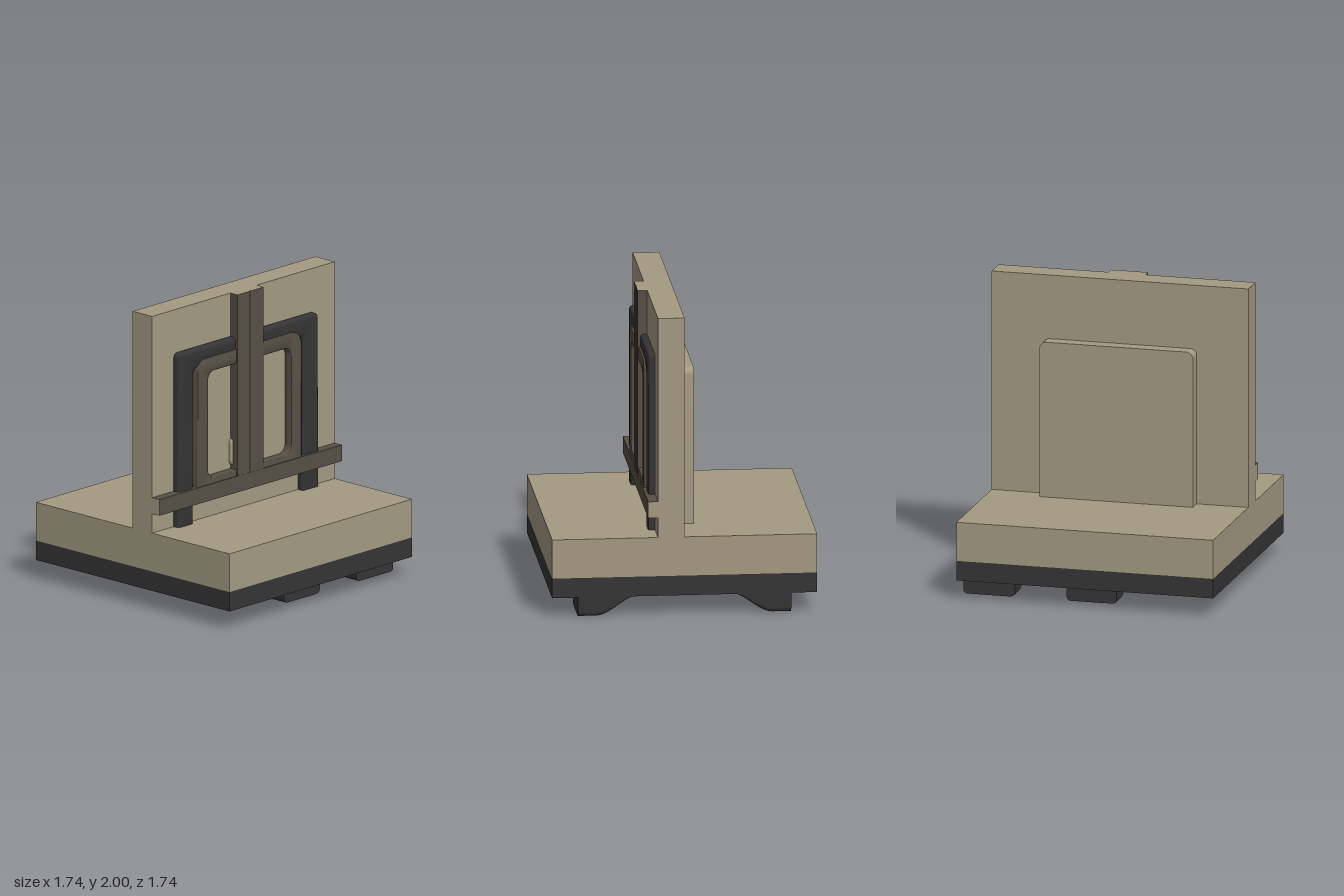
import * as THREE from 'three';
import { toCreasedNormals } from 'three/addons/utils/BufferGeometryUtils.js';

const material = (color) => new THREE.MeshStandardMaterial({ color });

// Rectangle outline with its own radius for the top and bottom corners
function roundedRect(x0, y0, x1, y1, top, bottom, Type = THREE.Shape) {
  const s = new Type();
  s.moveTo(x0 + bottom, y0);
  s.lineTo(x1 - bottom, y0);
  if (bottom) s.absarc(x1 - bottom, y0 + bottom, bottom, -Math.PI / 2, 0);
  s.lineTo(x1, y1 - top);
  if (top) s.absarc(x1 - top, y1 - top, top, 0, Math.PI / 2);
  s.lineTo(x0 + top, y1);
  if (top) s.absarc(x0 + top, y1 - top, top, Math.PI / 2, Math.PI);
  s.lineTo(x0, y0 + bottom);
  if (bottom) s.absarc(x0 + bottom, y0 + bottom, bottom, Math.PI, Math.PI * 1.5);
  return s;
}

// Extrude between two z depths, with an optional rounded edge
function plate(shape, z0, z1, bevel = 0) {
  const geo = new THREE.ExtrudeGeometry(shape, {
    depth: z1 - z0 - 2 * bevel, curveSegments: 8, bevelEnabled: bevel > 0,
    bevelThickness: bevel, bevelSize: bevel, bevelOffset: -bevel, bevelSegments: 4,
  });
  geo.translate(0, 0, z0 + bevel);
  return toCreasedNormals(geo, 0.6);
}

// Foot: rounded block whose underside sweeps up to the slab on its inner side
function footGeometry(x0, x1) {
  const top = 0.14, outer = 0.7, inner = 0.29;
  const geo = new THREE.ExtrudeGeometry(roundedRect(x0, 0, x1, top, 0, 0.03), {
    depth: outer - inner, steps: 24, curveSegments: 5, bevelEnabled: false,
  });
  geo.translate(0, 0, inner);
  const p = geo.attributes.position;
  for (let i = 0; i < p.count; i++) {
    const drop = THREE.MathUtils.smoothstep(p.getZ(i), inner, 0.58);
    p.setY(i, top + (p.getY(i) - top) * drop);
  }
  return toCreasedNormals(geo, 0.6);
}

export function createModel() {
  const group = new THREE.Group();
  const tan = material(0xa49b83);
  const brown = material(0x575046);
  const dark = material(0x353535);
  const add = (name, geo, mat) => {
    const mesh = new THREE.Mesh(geo, mat);
    mesh.name = name;
    group.add(mesh);
    return mesh;
  };
  const box = (name, mat, x0, x1, y0, y1, z0, z1) => add(name,
    new THREE.BoxGeometry(x1 - x0, y1 - y0, z1 - z0)
      .translate((x0 + x1) / 2, (y0 + y1) / 2, (z0 + z1) / 2), mat);

  // Base layers and upright wall
  box('baseSlab', dark, -0.87, 0.87, 0.13, 0.262, -0.87, 0.87);
  box('baseBlock', tan, -0.87, 0.87, 0.262, 0.523, -0.87, 0.87);
  box('wall', tan, -0.87, 0.87, 0.523, 2, 0, 0.175);

  // Raised panel on the back
  add('backPanel', plate(roundedRect(-0.52, 0.5, 0.52, 1.57, 0.045, 0), -0.095, 0.02), tan);

  // Feet in two columns, front and back
  for (const [x0, x1] of [[-0.17, 0.17], [0.52, 0.87]]) {
    add('frontFoot', footGeometry(x0, x1), dark);
    const back = add('backFoot', footGeometry(-x1, -x0), dark);
    back.rotation.y = Math.PI;
  }

  // Dark outer arch
  const arch = new THREE.Shape();
  arch.moveTo(-0.665, 0.48);
  arch.lineTo(-0.52, 0.48);
  arch.lineTo(-0.52, 1.52);
  arch.quadraticCurveTo(-0.52, 1.58, -0.46, 1.58);
  arch.lineTo(0.46, 1.58);
  arch.quadraticCurveTo(0.52, 1.58, 0.52, 1.52);
  arch.lineTo(0.52, 0.48);
  arch.lineTo(0.675, 0.48);
  arch.lineTo(0.67, 1.67);
  arch.quadraticCurveTo(0.67, 1.705, 0.635, 1.705);
  arch.lineTo(-0.63, 1.705);
  arch.quadraticCurveTo(-0.665, 1.705, -0.665, 1.67);
  add('outerArch', plate(arch, 0.14, 0.22, 0.02), dark);

  // Brown inner frame with a rounded opening
  const frame = roundedRect(-0.495, 0.7, 0.495, 1.625, 0.085, 0);
  frame.holes.push(roundedRect(-0.395, 0.805, 0.395, 1.53, 0.06, 0.06, THREE.Path));
  add('innerFrame', plate(frame, 0.15, 0.232, 0.008), brown);

  // Rails with light end caps; the vertical one has a fine centre groove
  const rail = (name, points, length) => add(name,
    new THREE.ExtrudeGeometry(new THREE.Shape(points.map(([a, b]) => new THREE.Vector2(a, b))),
      { depth: length, bevelEnabled: false }), [tan, brown]);
  const post = rail('verticalRail', [[-0.125, -0.17], [-0.125, -0.238], [-0.012, -0.238],
    [0, -0.232], [0.012, -0.238], [0.125, -0.238], [0.125, -0.17]], 1.3);
  post.rotation.x = -Math.PI / 2;
  post.position.y = 0.7;
  const bar = rail('horizontalRail', [[-0.24, 0.655], [-0.17, 0.655], [-0.17, 0.765], [-0.24, 0.765]], 1.74);
  bar.rotation.y = Math.PI / 2;
  bar.position.x = -0.87;

  // Small rounded plate behind the vertical rail
  add('smallPlate', plate(roundedRect(-0.14, 0.82, 0.14, 1.02, 0.045, 0.045), 0.15, 0.2, 0.015), tan);

  return group;
}
